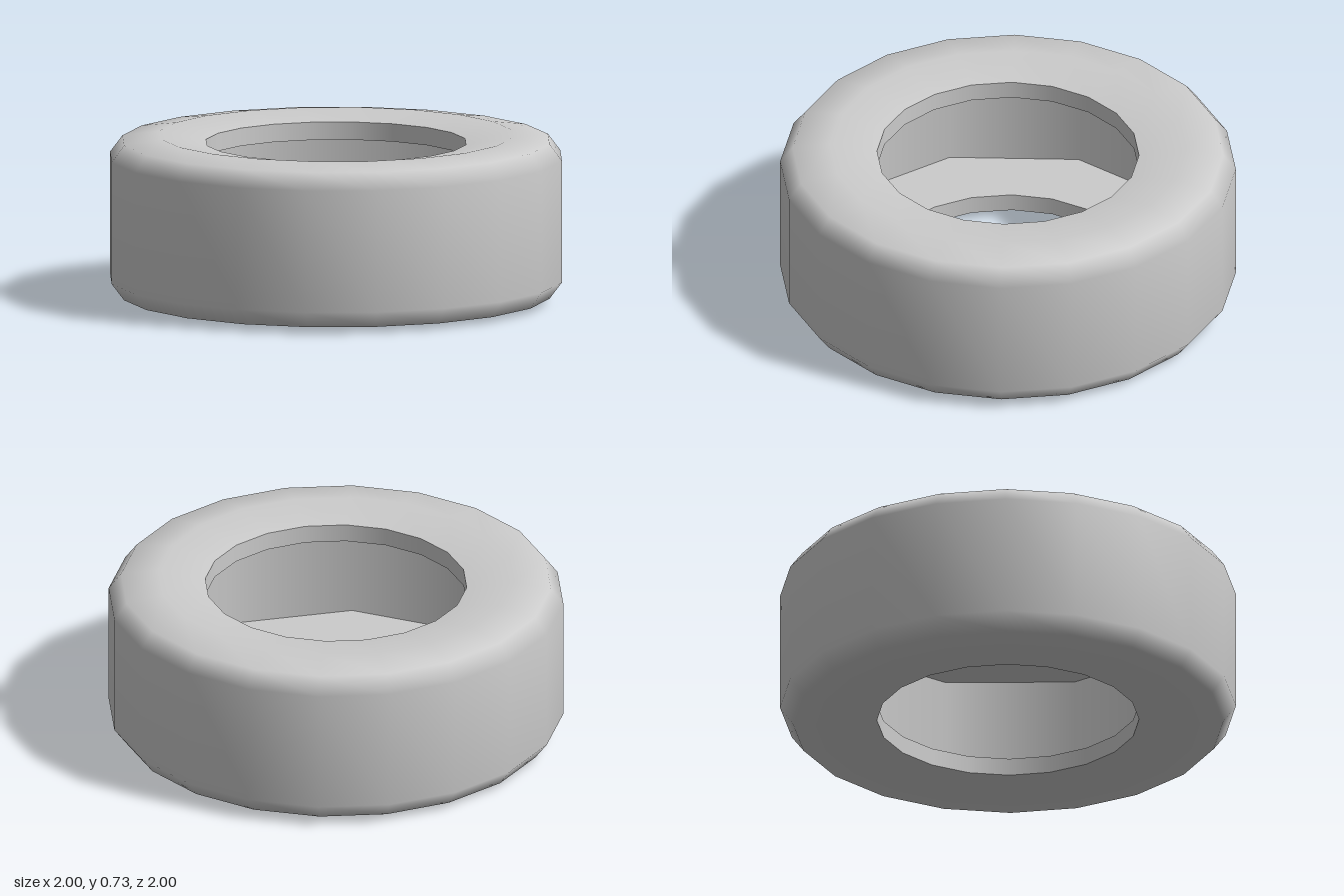
import * as THREE from 'three';

const HALF = 0.367;      // half of the total height
const HOLE = 0.575;      // radius of the central opening
const CAVITY = 0.915;    // radius of the ten-sided inner cavity
const LIP = 0.333;       // lip edge, measured from mid height
const CEILING = 0.254;   // cavity floor and ceiling, measured from mid height

const material = new THREE.MeshStandardMaterial({ color: 0xcccccc });

function mesh(name, geometry) {
  const m = new THREE.Mesh(geometry, material);
  m.name = name;
  return m;
}

function lathe(points, sides) {
  return new THREE.LatheGeometry(points.map(([r, y]) => new THREE.Vector2(r, y)), sides);
}

// Corner points of a regular polygon with one corner on the +y axis
function polygon(radius, sides) {
  return Array.from({ length: sides }, (_, i) => {
    const a = (i / sides) * Math.PI * 2;
    return new THREE.Vector2(Math.sin(a) * radius, Math.cos(a) * radius);
  });
}

// Flat ring between the round opening and the ten-sided cavity wall
function cavityRing() {
  const shape = new THREE.Shape(polygon(CAVITY, 10));
  shape.holes.push(new THREE.Path(polygon(HOLE, 20)));
  return new THREE.ShapeGeometry(shape);
}

export function createModel() {
  const tyre = new THREE.Group();
  tyre.name = 'tyre';
  tyre.position.y = HALF;

  // Tread and both sidewalls, one smooth skin
  const upper = [[1, 0.27], [0.945, 0.343], [0.78, HALF], [HOLE, LIP]];
  const lower = upper.map(([r, y]) => [r, -y]).reverse();
  tyre.add(mesh('treadAndSidewalls', lathe([...lower, ...upper], 20)));

  // Upright lips around the opening, facing the axis
  tyre.add(mesh('upperLip', lathe([[HOLE, LIP], [HOLE, CEILING]], 20)));
  tyre.add(mesh('lowerLip', lathe([[HOLE, -CEILING], [HOLE, -LIP]], 20)));

  // Hollow inside
  tyre.add(mesh('cavityWall', lathe([[CAVITY, CEILING], [CAVITY, -CEILING]], 10)));
  tyre.add(mesh('cavityCeiling', cavityRing().rotateX(Math.PI / 2).translate(0, CEILING, 0)));
  tyre.add(mesh('cavityFloor', cavityRing().rotateX(-Math.PI / 2).translate(0, -CEILING, 0)));

  const model = new THREE.Group();
  model.name = 'model';
  model.add(tyre);
  return model;
}
